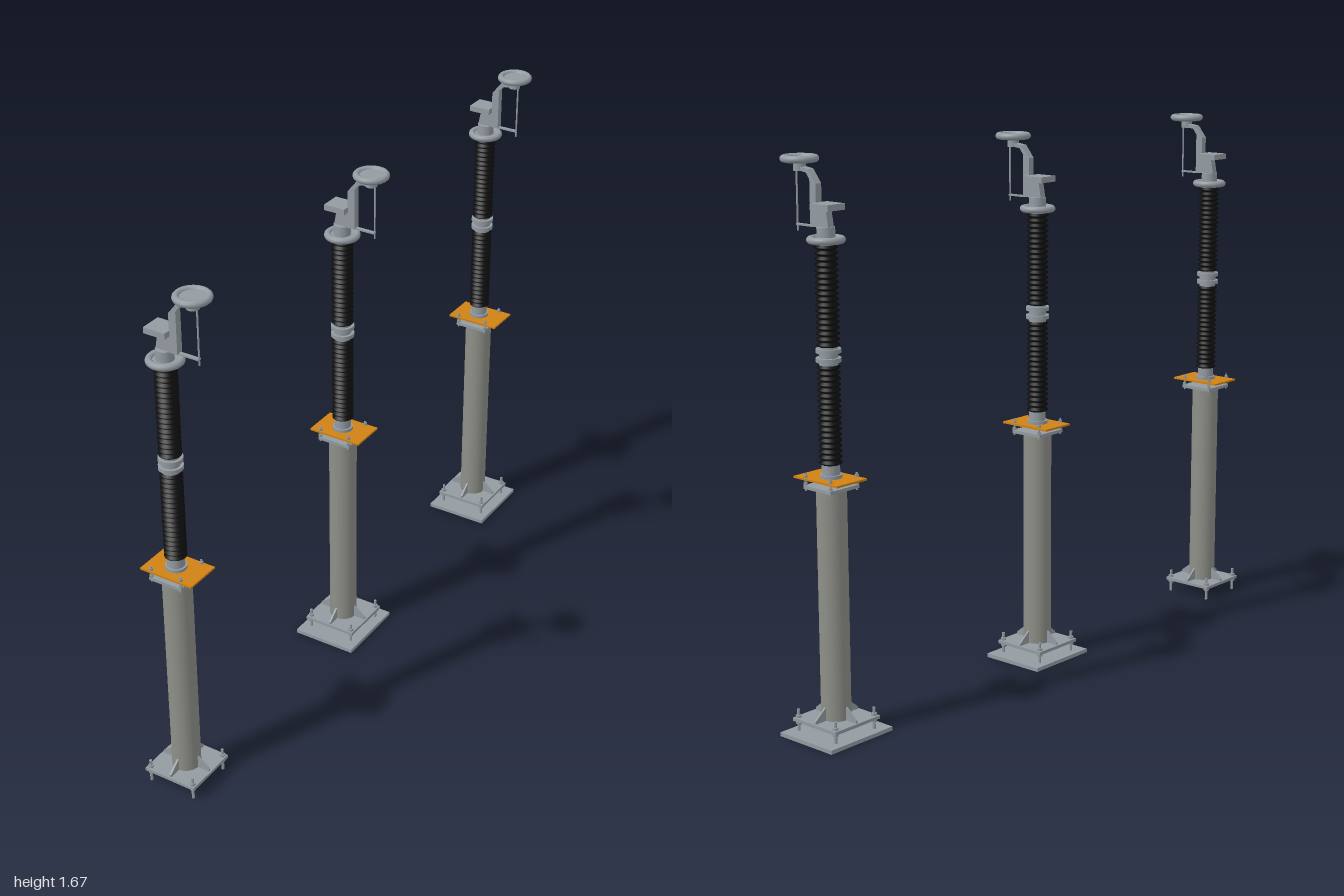
import * as THREE from 'three';

const mat = (color) => new THREE.MeshStandardMaterial({ color, side: THREE.DoubleSide });
const steel = mat(0x939ba1);
const paint = mat(0x8e8f88);
const black = mat(0x0c0c0c);
const orange = mat(0xd08214);

function add(parent, name, geometry, material, x = 0, y = 0, z = 0) {
  const mesh = new THREE.Mesh(geometry, material);
  mesh.name = name;
  mesh.position.set(x, y, z);
  parent.add(mesh);
  return mesh;
}

// box and cylinder given by their bottom and top heights
const slab = (p, name, w, y0, y1, d, m, x = 0, z = 0) =>
  add(p, name, new THREE.BoxGeometry(w, y1 - y0, d), m, x, (y0 + y1) / 2, z);
const rod = (p, name, r, y0, y1, m, x = 0, z = 0, sides = 32) =>
  add(p, name, new THREE.CylinderGeometry(r, r, y1 - y0, sides), m, x, (y0 + y1) / 2, z);

// bolts with nuts at the four corners of a rectangle
function bolts(parent, name, hx, hz, y0, y1, r, nutHeights) {
  const group = new THREE.Group();
  group.name = name;
  for (const sx of [-1, 1]) for (const sz of [-1, 1]) {
    rod(group, 'bolt', r, y0, y1, steel, sx * hx, sz * hz, 8);
    for (const y of nutHeights) rod(group, 'nut', r * 2, y, y + 0.007, steel, sx * hx, sz * hz, 6);
  }
  parent.add(group);
}

// stack of sheds around a core
function insulator(parent, name, y0, y1) {
  const count = 18, step = (y1 - y0) / count, pts = [new THREE.Vector2(0, y0)];
  for (let i = 0; i < count; i++) {
    const y = y0 + i * step;
    pts.push(new THREE.Vector2(0.025, y), new THREE.Vector2(0.033, y + step * 0.3),
      new THREE.Vector2(0.033, y + step * 0.5), new THREE.Vector2(0.025, y + step * 0.85));
  }
  pts.push(new THREE.Vector2(0.025, y1), new THREE.Vector2(0, y1));
  add(parent, name, new THREE.LatheGeometry(pts, 28), black);
}

// rounded ring closed by a thin disc
function gradingRing(parent, name, x, y) {
  const group = new THREE.Group();
  group.name = name;
  const ring = add(group, 'ring', new THREE.TorusGeometry(0.0445, 0.0105, 12, 40), steel, x, y);
  ring.rotation.x = Math.PI / 2;
  rod(group, 'ringDisc', 0.04, y - 0.003, y + 0.003, steel, x);
  parent.add(group);
}

// flat outline in x and y, extruded and centred in z
function profile(points, depth) {
  const shape = new THREE.Shape(points.map(([x, y]) => new THREE.Vector2(x, y)));
  return new THREE.ExtrudeGeometry(shape, { depth, bevelEnabled: false }).translate(0, 0, -depth / 2);
}

function createPole(hasGroundPlate) {
  const pole = new THREE.Group();
  pole.name = 'pole';

  // foot
  if (hasGroundPlate) slab(pole, 'groundPlate', 0.213, 0, 0.012, 0.245, steel);
  slab(pole, 'footFlange', 0.178, 0.042, 0.052, 0.178, steel);
  bolts(pole, 'anchorBolts', 0.077, 0.077, 0.002, 0.078, 0.0045, [0.034, 0.053]);
  const ribShape = [[0.04, 0.052], [0.084, 0.052], [0.084, 0.06], [0.044, 0.092], [0.04, 0.092]];
  for (let i = 0; i < 4; i++) {
    add(pole, 'footRib', profile(ribShape, 0.006), steel).rotation.y = i * Math.PI / 2;
  }

  // support column and mounting plates
  rod(pole, 'column', 0.044, 0.05, 0.74, paint);
  slab(pole, 'columnFlange', 0.112, 0.738, 0.748, 0.112, steel);
  bolts(pole, 'levellingBolts', 0.051, 0.051, 0.732, 0.784, 0.003, [0.749, 0.771]);
  slab(pole, 'mountingPlate', 0.178, 0.764, 0.77, 0.116, orange, 0.004);

  // insulator stack
  rod(pole, 'baseCap', 0.032, 0.77, 0.78, steel);
  rod(pole, 'baseFitting', 0.026, 0.78, 0.812, steel);
  insulator(pole, 'lowerInsulator', 0.808, 1.098);
  for (const y of [1.104, 1.13]) rod(pole, 'jointFlange', 0.036, y, y + 0.012, steel);
  rod(pole, 'jointCore', 0.027, 1.095, 1.15, steel);
  insulator(pole, 'upperInsulator', 1.146, 1.436);
  gradingRing(pole, 'lowerGradingRing', 0, 1.447);
  rod(pole, 'topCap', 0.026, 1.43, 1.482, steel);

  // terminal head
  add(pole, 'headBracket', profile([[-0.022, 1.48], [0.05, 1.48], [0.05, 1.535], [-0.012, 1.535]], 0.022), steel);
  slab(pole, 'terminalPad', 0.07, 1.53, 1.548, 0.066, steel, -0.008);
  add(pole, 'contactArm', profile([[0.026, 1.48], [0.05, 1.48], [0.05, 1.61], [0.064, 1.628],
    [0.112, 1.634], [0.112, 1.646], [0.056, 1.638], [0.026, 1.6]], 0.022), steel);
  rod(pole, 'ringHub', 0.018, 1.63, 1.66, steel, 0.1);
  gradingRing(pole, 'upperGradingRing', 0.1, 1.664);
  rod(pole, 'contactRod', 0.0028, 1.462, 1.645, steel, 0.113, 0, 10);
  slab(pole, 'rodLink', 0.066, 1.478, 1.483, 0.012, steel, 0.081);
  return pole;
}

export function createModel() {
  const model = new THREE.Group();
  model.name = 'threePoleSwitch';
  // three poles in a row, the front one without a ground plate
  [0.905, 0.0135, -0.878].forEach((z, i) => {
    const pole = createPole(i > 0);
    pole.position.set(-0.026, 0, z);
    model.add(pole);
  });
  return model;
}
